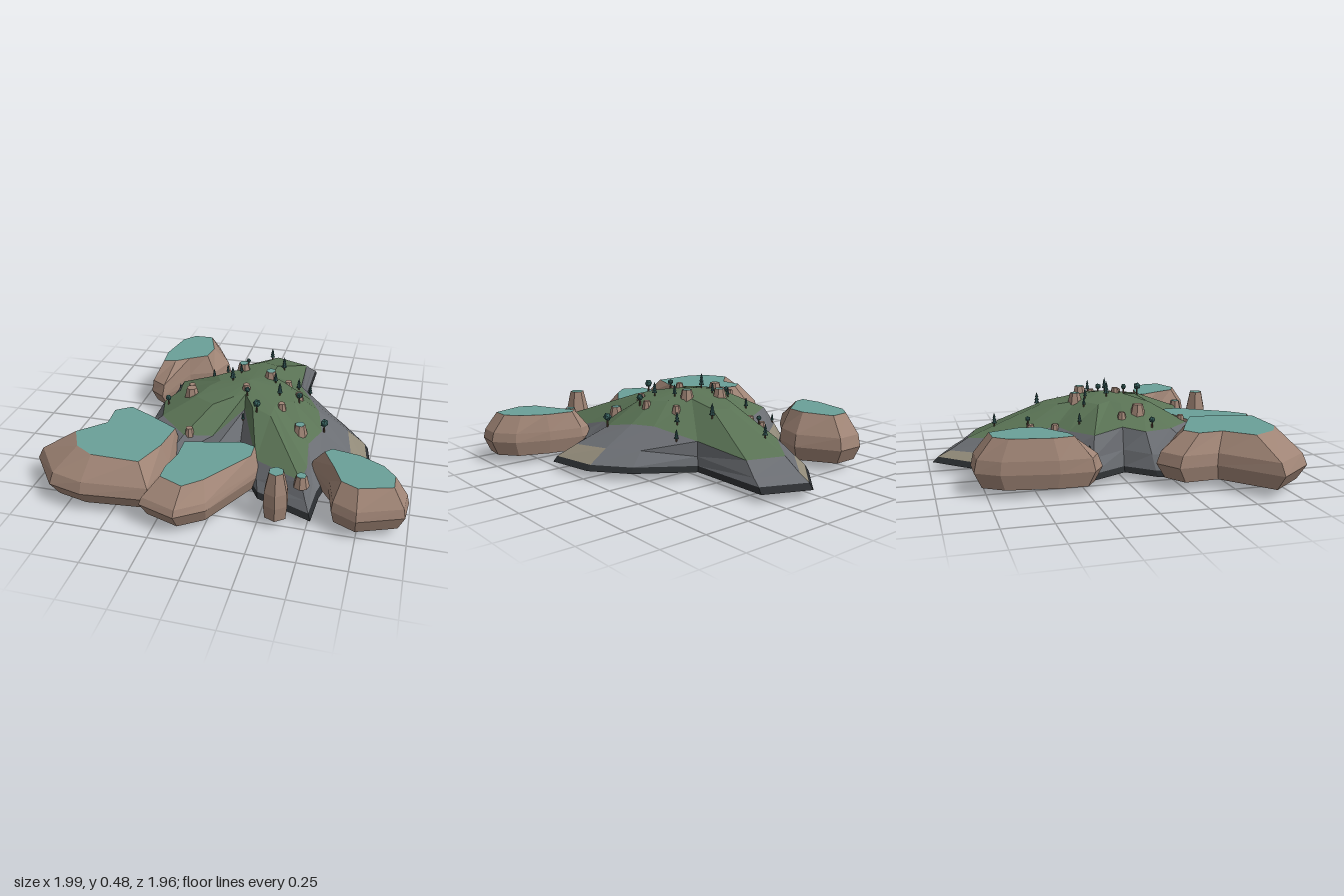
import * as THREE from 'three';

const mat = (color) => new THREE.MeshStandardMaterial({ color, flatShading: true });
const GRASS = mat(0x5a7355), STONE = mat(0x6b6e73), SAND = mat(0x918a79), DARK = mat(0x2a2d30);
const CLAY = mat(0x9f8475), POOL = mat(0x6aa098), LEAF = mat(0x37615d), PINE = mat(0x2b4a4a), BARK = mat(0x5b4638);

const lerp2 = (a, b, t) => [a[0] + (b[0] - a[0]) * t, a[1] + (b[1] - a[1]) * t];
const v3 = (p, y) => new THREE.Vector3(p[0], y, p[1]);
const mean = (points) => [0, 1].map((k) => points.reduce((sum, p) => sum + p[k], 0) / points.length);

// Faceted mesh from a flat list of triangle corners
function facets(name, corners, material) {
  const g = new THREE.BufferGeometry().setFromPoints(corners);
  g.computeVertexNormals();
  const m = new THREE.Mesh(g, material);
  m.name = name;
  return m;
}

// Two triangles joining segment i of an upper ring to the ring below it
function quad(upper, lower, i) {
  const j = (i + 1) % upper.length;
  return [upper[i], lower[j], lower[i], upper[i], upper[j], lower[j]];
}

// Fan closing a ring, facing up or down
function fan(ring, centre, up = true) {
  return ring.flatMap((p, i) => {
    const q = ring[(i + 1) % ring.length];
    return up ? [centre, q, p] : [centre, p, q];
  });
}

// Island spokes: shore x, z, then fraction along the spoke and height where grass ends
const SPOKES = [
  [0.04, -0.98, 0.8, 0.17], [0.29, -0.87, 0.82, 0.17], [0.29, -0.4, 0.92, 0.2], [0.58, -0.2, 0.62, 0.25],
  [0.73, -0.01, 0.58, 0.25], [0.78, 0.26, 0.6, 0.22], [0.56, 0.38, 0.75, 0.21], [0.53, 0.53, 0.84, 0.17],
  [0.52, 0.73, 0.85, 0.2], [0.22, 0.61, 0.8, 0.2], [0.05, 0.35, 0.45, 0.3], [-0.1, 0.43, 0.88, 0.24],
  [-0.38, 0.65, 0.65, 0.25], [-0.7, 0.45, 0.6, 0.26], [-0.57, 0.14, 0.8, 0.26], [-0.44, 0, 0.9, 0.28],
  [-0.55, -0.21, 0.78, 0.25], [-0.36, -0.37, 0.7, 0.24], [-0.24, -0.48, 0.65, 0.25], [-0.18, -0.75, 0.75, 0.19],
];
const LOWEST = SPOKES[12];
const SANDY = [4, 12, 16, 18, 19]; // segments whose shore is sand

function makeIsland() {
  const island = new THREE.Group();
  island.name = 'island';
  const c = [0.03, 0];
  const ring = (fraction, height) => SPOKES.map((s) => v3(lerp2(c, s, fraction(s)), height(s)));
  // The shore dips to the ground at its lowest spoke
  const shoreY = (s) => 0.042 * Math.min(1, Math.hypot(s[0] - LOWEST[0], s[1] - LOWEST[1]) / 0.38);
  const shore = ring(() => 1, shoreY);
  const rim = ring(() => 0.97, (s) => shoreY(s) + 0.03);
  const stone = ring((s) => s[2] + (0.96 - s[2]) * 0.65, (s) => 0.04 + (s[3] - 0.04) * 0.5);
  const grass = ring((s) => s[2], (s) => s[3]);
  const top = ring(() => 0.37, (s) => 0.405 - 0.065 * Math.hypot(s[0], s[1]));
  const green = fan(top, v3(c, 0.405)), grey = [], sand = [], dark = fan(shore, v3(c, 0.03), false);
  SPOKES.forEach((_, i) => {
    green.push(...quad(top, grass, i));
    grey.push(...quad(grass, stone, i));
    (SANDY.includes(i) ? sand : grey).push(...quad(stone, rim, i));
    dark.push(...quad(rim, shore, i));
  });
  island.add(facets('grassHill', green, GRASS), facets('stoneSlope', grey, STONE),
    facets('sandShore', sand, SAND), facets('underside', dark, DARK));
  return island;
}

// Mesa: bevelled clay body with a flat pool on top; outline points are x, z and bank width
function makeMesa(name, height, outline) {
  const g = new THREE.Group();
  g.name = name;
  const c = mean(outline);
  const inset = (share) => outline.map((p) => lerp2(p, c, (share * p[2]) / Math.hypot(p[0] - c[0], p[1] - c[1])));
  const pool = inset(1);
  const rings = [
    pool.map((p) => v3(p, height)),
    inset(0.15).map((p) => v3(p, 0.045 + (height - 0.045) * 0.58)),
    outline.map((p) => v3(p, 0.125)),
    outline.map((p) => v3(lerp2(c, p, 0.88), 0.045)),
  ];
  const body = fan(rings[3], v3(c, 0.045), false);
  for (let r = 0; r < 3; r++) outline.forEach((_, i) => body.push(...quad(rings[r], rings[r + 1], i)));
  g.add(facets('clayBody', body, CLAY), facets('pool', fan(rings[0], v3(mean(pool), height)), POOL));
  return g;
}

function makeMesas() {
  const pillar = Array.from({ length: 6 }, (_, i) => {
    const a = (i * Math.PI) / 3 + 0.4;
    return [0.34 + 0.07 * Math.cos(a), 0.72 + 0.07 * Math.sin(a), 0.03];
  });
  return [
    makeMesa('frontRightMesa', 0.29, [
      [-0.73, 0.2, 0.14], [-0.6, 0.12, 0.15], [-0.42, 0.24, 0.1], [-0.25, 0.42, 0.03], [-0.25, 0.62, 0.05],
      [-0.28, 0.87, 0.12], [-0.64, 0.905, 0.13], [-0.83, 0.86, 0.18], [-1, 0.645, 0.22], [-0.72, 0.41, 0.08]]),
    makeMesa('frontMesa', 0.245, [
      [-0.25, 0.44, 0.05], [-0.03, 0.4, 0.04], [0.13, 0.36, 0.06], [0.2, 0.4, 0.05], [0.22, 0.5, 0.06],
      [0.02, 0.88, 0.1], [-0.12, 0.975, 0.11], [-0.32, 0.91, 0.13], [-0.28, 0.75, 0.05], [-0.26, 0.6, 0.05]]),
    makeMesa('frontLeftMesa', 0.27, [
      [0.46, 0.38, 0.09], [0.53, 0.35, 0.06], [0.72, 0.39, 0.03], [0.9, 0.46, 0.06], [0.99, 0.57, 0.08],
      [0.98, 0.7, 0.08], [0.75, 0.79, 0.08], [0.62, 0.73, 0.07], [0.58, 0.55, 0.02]]),
    makeMesa('backRightMesa', 0.3, [
      [-0.53, -0.81, 0.1], [-0.37, -0.81, 0.1], [-0.24, -0.59, 0.11], [-0.3, -0.42, 0.06], [-0.45, -0.36, 0.02],
      [-0.57, -0.16, 0.17], [-0.66, -0.22, 0.11], [-0.66, -0.4, 0.05], [-0.61, -0.69, 0.06]]),
    makeMesa('pillar', 0.31, pillar),
  ];
}

function part(name, geometry, material, y) {
  const m = new THREE.Mesh(geometry, material);
  m.name = name;
  m.position.y = y;
  return m;
}

// Small tapered stump of clay, optionally capped with a pool
function makeStump(r, h, capped) {
  const g = new THREE.Group();
  g.name = 'clayStump';
  g.add(part('stumpBody', new THREE.CylinderGeometry(r * 0.65, r, h + 0.02, 7), CLAY, h / 2 - 0.01));
  if (capped) g.add(part('stumpPool', new THREE.CylinderGeometry(r * 0.6, r * 0.6, 0.004, 7), POOL, h));
  return g;
}

function makePine(h) {
  const g = new THREE.Group();
  g.name = 'pineTree';
  g.add(part('trunk', new THREE.CylinderGeometry(0.004, 0.005, h * 0.4, 5), BARK, h * 0.15));
  for (let i = 0; i < 3; i++) {
    g.add(part('branches', new THREE.ConeGeometry(h * (0.2 - i * 0.04), h * 0.36, 6), PINE, h * (0.4 + i * 0.21)));
  }
  return g;
}

function makeRoundTree(h) {
  const g = new THREE.Group();
  g.name = 'roundTree';
  g.add(part('trunk', new THREE.CylinderGeometry(0.004, 0.006, h * 0.7, 5), BARK, h * 0.3));
  g.add(part('crown', new THREE.IcosahedronGeometry(h * 0.3, 0), LEAF, h * 0.7));
  return g;
}

// Ground positions x, z; pines run from tallest to shortest
const CAPPED_STUMPS = [[-0.05, -0.18], [0.13, -0.11], [0.37, 0.24], [0.45, 0.62]];
const STUMPS = [[-0.28, 0.12], [-0.31, 0.02], [-0.16, -0.32], [-0.12, -0.45], [0.03, 0.08], [0.32, 0.01], [0.23, -0.14], [0.25, 0.16], [-0.21, 0.4]];
const PINES = [[-0.07, 0], [0.16, -0.36], [0.22, 0.07], [0.03, -0.63], [0.28, -0.21], [0.17, -0.05], [0.34, -0.28], [-0.24, -0.2], [-0.05, -0.12], [-0.14, -0.15], [-0.46, -0.2], [0.04, 0.2]];
const ROUND_TREES = [[0.49, 0.15], [0.13, 0.25], [-0.06, 0.4], [0.33, 0.06], [-0.41, 0.16], [0.05, 0.14], [-0.09, -0.46]];

export function createModel() {
  const model = new THREE.Group();
  model.name = 'islandWithMesas';
  const island = makeIsland();
  model.add(island, ...makeMesas());

  // Drop stumps and trees onto the terrain
  island.updateMatrixWorld(true);
  const ray = new THREE.Raycaster();
  const place = (object, [x, z]) => {
    ray.set(new THREE.Vector3(x, 2, z), new THREE.Vector3(0, -1, 0));
    const hit = ray.intersectObject(island, true)[0];
    object.position.set(x, hit ? hit.point.y : 0.2, z);
    object.rotation.y = x * 9 + z * 5;
    model.add(object);
  };
  CAPPED_STUMPS.forEach((p) => place(makeStump(0.043, 0.043, true), p));
  STUMPS.forEach((p, i) => place(makeStump(i ? 0.028 : 0.045, i ? 0.028 : 0.045, false), p));
  PINES.forEach((p, i) => place(makePine(0.088 - i * 0.0035), p));
  ROUND_TREES.forEach((p, i) => place(makeRoundTree(0.08 - i * 0.005), p));
  return model;
}
